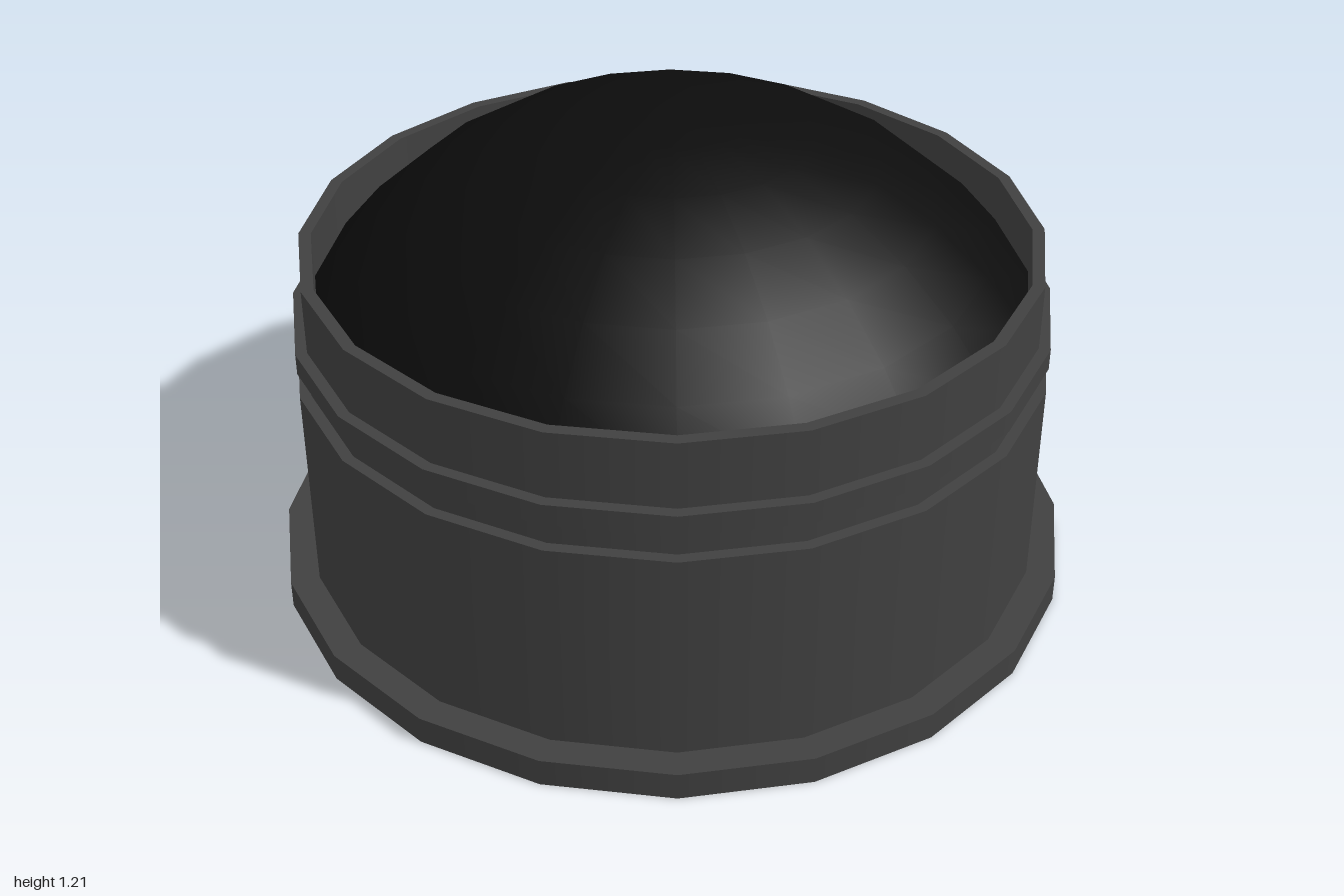
import * as THREE from 'three';
import { mergeGeometries } from 'three/addons/utils/BufferGeometryUtils.js';

const SIDES = 20;

// Revolves a profile: smooth around the axis, sharp at every profile corner.
function turned(name, profile, material) {
  const bands = [];
  for (let i = 0; i < profile.length - 1; i++) {
    const pair = [profile[i], profile[i + 1]].map(([r, y]) => new THREE.Vector2(r, y));
    bands.push(new THREE.LatheGeometry(pair, SIDES));
  }
  const mesh = new THREE.Mesh(mergeGeometries(bands), material);
  mesh.name = name;
  return mesh;
}

export function createModel() {
  const group = new THREE.Group();
  group.name = 'domedHousing';
  const shell = new THREE.MeshStandardMaterial({ color: 0x404040 });
  const dark = new THREE.MeshStandardMaterial({ color: 0x0c0c0c });

  // Wide foot with a closed underside
  group.add(turned('baseFlange', [[0, 0], [1, 0], [1, 0.07], [0.928, 0.07]], shell));

  // Main drum
  group.add(turned('body', [[0.928, 0.07], [0.928, 0.605], [0.9, 0.605]], shell));

  // Groove and raised band
  group.add(turned('groove', [[0.9, 0.605], [0.9, 0.672]], shell));
  group.add(turned('band', [[0.9, 0.672], [0.928, 0.672], [0.928, 0.725], [0.9, 0.725]], shell));

  // Collar with a thin lip and an inner wall running down to the dome
  group.add(turned('collar', [[0.9, 0.725], [0.9, 0.89], [0.87, 0.89], [0.87, 0.72]], shell));

  // Shallow spherical cap seated inside the collar
  const radius = 1.086;
  const dome = new THREE.Mesh(
    new THREE.SphereGeometry(radius, SIDES, 6, 0, Math.PI * 2, 0, Math.PI * 0.3), dark);
  dome.position.y = 1.21 - radius;
  dome.name = 'dome';
  group.add(dome);

  return group;
}
